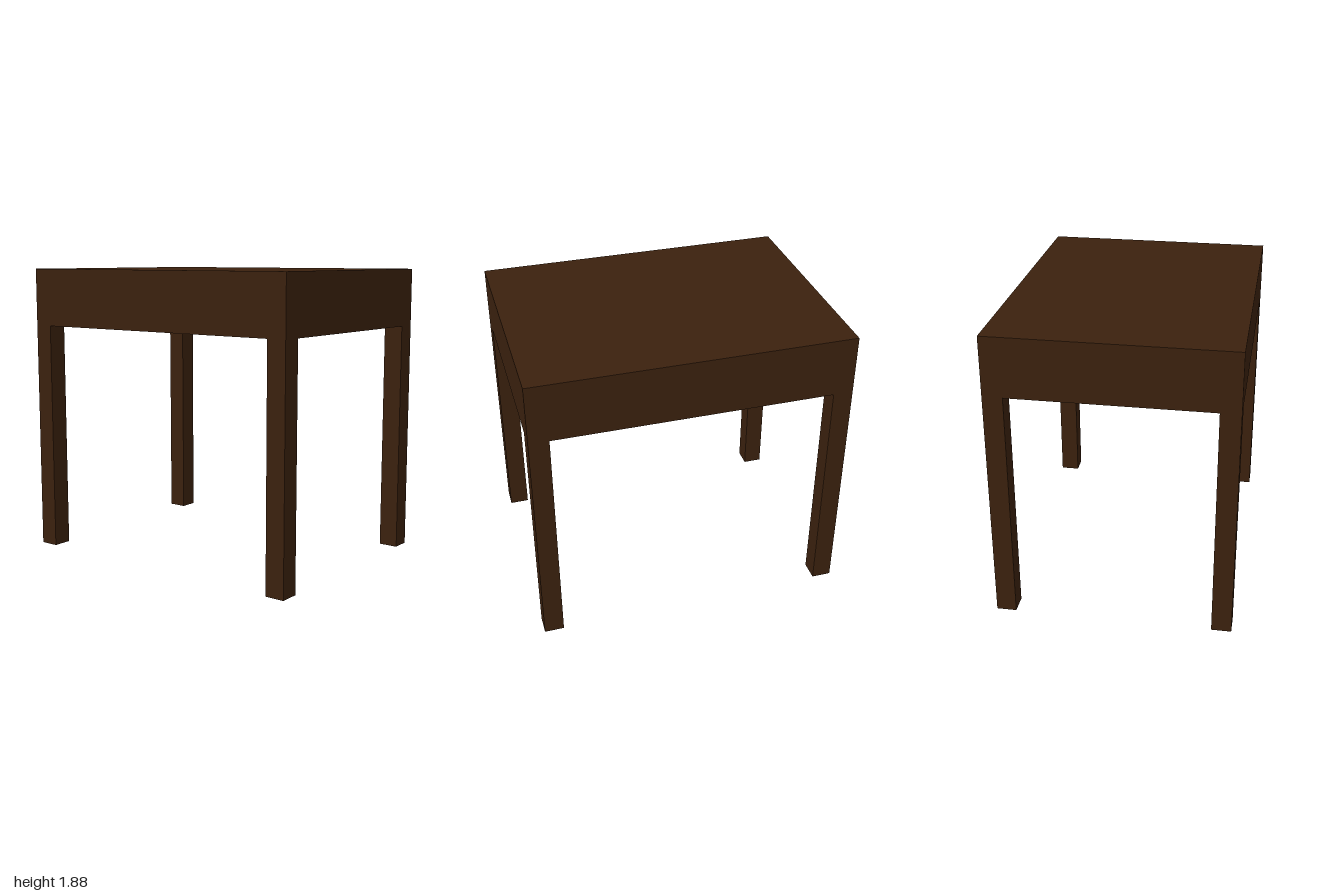
import * as THREE from 'three';

const WIDTH = 1.5, DEPTH = 2, HEIGHT = 1.875;
const LEG = 0.125, LEG_HEIGHT = 1.5;

export function createModel() {
  const table = new THREE.Group();
  table.name = 'table';

  const darkWood = new THREE.MeshStandardMaterial({ color: 0x3b210e });
  darkWood.name = 'darkWood';

  // Thick solid top
  const slab = HEIGHT - LEG_HEIGHT;
  const top = new THREE.Mesh(new THREE.BoxGeometry(WIDTH, slab, DEPTH), darkWood);
  top.name = 'tableTop';
  top.position.y = LEG_HEIGHT + slab / 2;
  table.add(top);

  // Square legs flush with the corners
  const legGeometry = new THREE.BoxGeometry(LEG, LEG_HEIGHT, LEG);
  for (const [side, sx] of [['Left', 1], ['Right', -1]]) {
    for (const [end, sz] of [['front', 1], ['back', -1]]) {
      const leg = new THREE.Mesh(legGeometry, darkWood);
      leg.name = `${end}${side}Leg`;
      leg.position.set(sx * (WIDTH - LEG) / 2, LEG_HEIGHT / 2, sz * (DEPTH - LEG) / 2);
      table.add(leg);
    }
  }

  return table;
}
